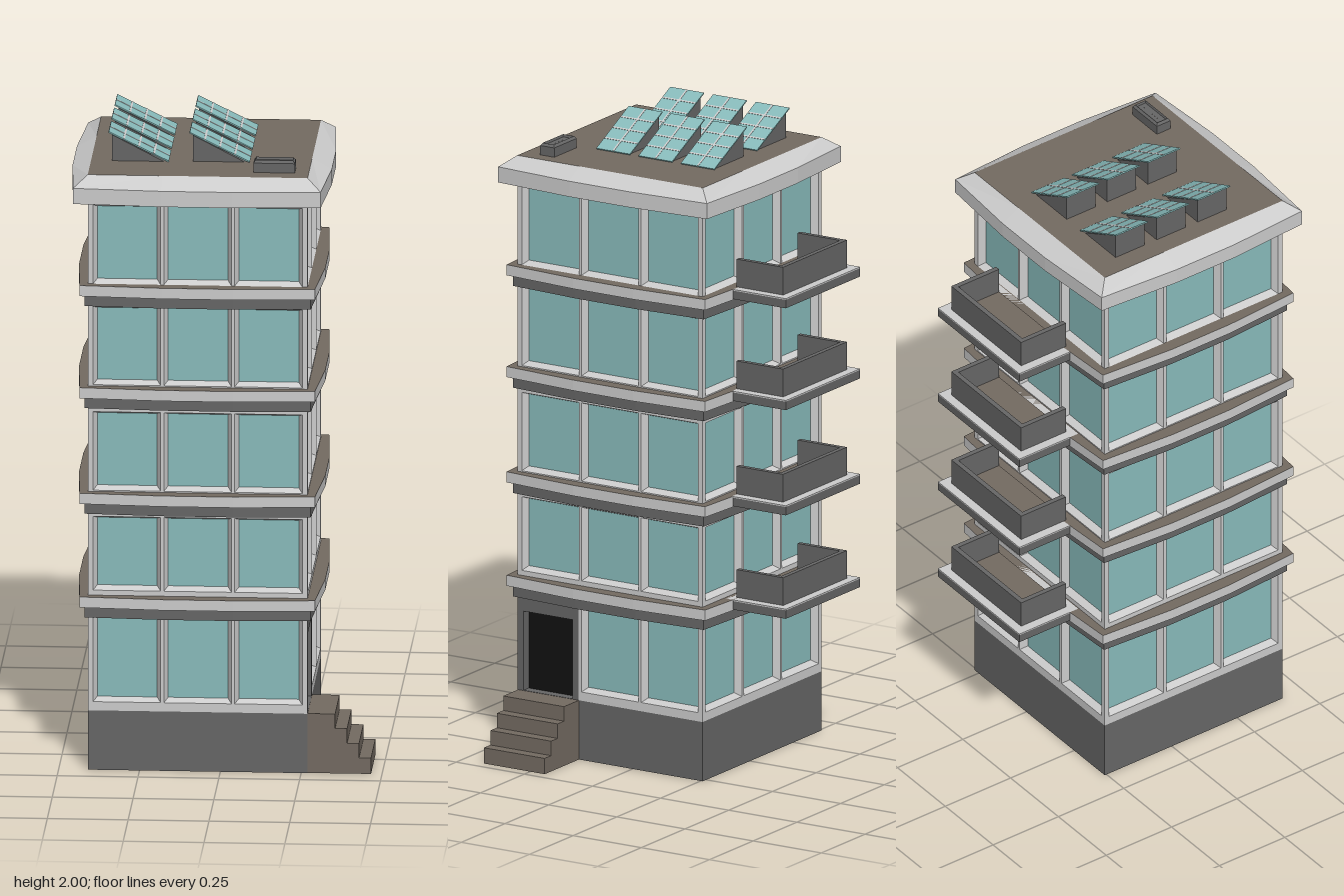
import * as THREE from 'three';

const mat = (color) => new THREE.MeshStandardMaterial({ color, flatShading: true, side: THREE.DoubleSide });
const LIGHT = mat(0xcccccc), DARK = mat(0x666666), BROWN = mat(0x736a61);
const GLASS = mat(0x88bbbb), BLACK = mat(0x111111);

const HALF = 0.34;   // half width of the tower
const PITCH = 0.219; // spacing of the three window bays
const CX = -0.07, CZ = 0.083;

function add(parent, name, geometry, material, x = 0, y = 0, z = 0) {
  const mesh = new THREE.Mesh(geometry, material);
  mesh.name = name;
  mesh.position.set(x, y, z);
  parent.add(mesh);
  return mesh;
}

// Box given by its minimum and maximum corners
function box(parent, name, material, [x0, y0, z0], [x1, y1, z1]) {
  const g = new THREE.BoxGeometry(x1 - x0, y1 - y0, z1 - z0);
  return add(parent, name, g, material, (x0 + x1) / 2, (y0 + y1) / 2, (z0 + z1) / 2);
}

// Skin between successive closed rings of points
function loft(rings) {
  const pos = [];
  for (let r = 0; r + 1 < rings.length; r++) {
    const a = rings[r], b = rings[r + 1];
    a.forEach((p, i) => {
      const j = (i + 1) % a.length;
      pos.push(...p, ...a[j], ...b[j], ...p, ...b[j], ...b[i]);
    });
  }
  const g = new THREE.BufferGeometry();
  g.setAttribute('position', new THREE.Float32BufferAttribute(pos, 3));
  g.computeVertexNormals();
  return g;
}

// Square plan whose sides bow outward from the corners to the middle bay
function bowedPlan(corner, mid) {
  const pts = [];
  for (let k = 0; k < 4; k++) {
    const c = Math.cos(k * Math.PI / 2), s = Math.sin(k * Math.PI / 2);
    for (const [x, z] of [[-corner, corner], [-0.11, mid], [0.11, mid]]) {
      pts.push([x * c + z * s, z * c - x * s]);
    }
  }
  return pts;
}
const ring = (plan, y) => plan.map(([x, z]) => [x, y, z]);

function bowedSlab(parent, name, corner, mid, y0, y1, capMaterial, sideMaterial) {
  const shape = new THREE.Shape(bowedPlan(corner, mid).map(([x, z]) => new THREE.Vector2(x, -z)));
  const g = new THREE.ExtrudeGeometry(shape, { depth: y1 - y0, bevelEnabled: false });
  g.rotateX(-Math.PI / 2);
  add(parent, name, g, [capMaterial, sideMaterial], 0, y0, 0);
}

const rectPoints = (x0, y0, x1, y1) => [[x0, y0], [x1, y0], [x1, y1], [x0, y1]];
const rectPath = (Type, ...r) => new Type(rectPoints(...r).map((p) => new THREE.Vector2(...p)));
const rectRing = (r, z) => rectPoints(...r).map(([x, y]) => [x, y, z]);

// Flat wall panel with bevelled, recessed windows
function wallPanel(parent, [y0, y1, p0, p1], hasDoor) {
  const left = hasDoor ? -0.115 : -HALF;
  const shape = rectPath(THREE.Shape, left, y0, HALF, y1);
  const w = 0.0925, bevel = 0.012, depth = 0.022;
  for (let bay = hasDoor ? 0 : -1; bay <= 1; bay++) {
    const x = bay * PITCH;
    const outer = [x - w - bevel, p0 - bevel, x + w + bevel, p1 + bevel * 0.7];
    const inner = [x - w, p0, x + w, p1];
    shape.holes.push(rectPath(THREE.Path, ...outer));
    add(parent, 'windowFrame', loft([rectRing(outer, HALF), rectRing(inner, HALF - depth)]), LIGHT);
    add(parent, 'windowPane', new THREE.PlaneGeometry(2 * w, p1 - p0), GLASS, x, (p0 + p1) / 2, HALF - depth);
  }
  add(parent, 'wall', new THREE.ShapeGeometry(shape), LIGHT, 0, 0, HALF);
  if (hasDoor) {
    const opening = [-0.317, y0 + 0.001, -0.137, 0.445];
    const surround = rectPath(THREE.Shape, -HALF, y0, left, y1);
    surround.holes.push(rectPath(THREE.Path, ...opening));
    add(parent, 'doorSurround', new THREE.ShapeGeometry(surround), DARK, 0, 0, HALF);
    add(parent, 'doorReveal', loft([rectRing(opening, HALF), rectRing(opening, HALF - 0.03)]), DARK);
    add(parent, 'door', new THREE.PlaneGeometry(0.18, 0.445 - y0), BLACK, -0.227, (y0 + 0.445) / 2, HALF - 0.03);
  }
}

function balcony(y) {
  const g = new THREE.Group();
  g.name = 'balcony';
  box(g, 'balconySlab', DARK, [-0.275, 0, -0.485], [0.15, 0.027, -0.26]);
  box(g, 'balconyEdge', LIGHT, [-0.275, 0.027, -0.485], [0.15, 0.031, -0.26]);
  box(g, 'balconyFloor', BROWN, [-0.23, 0.031, -0.44], [0.105, 0.034, -0.285]);
  box(g, 'balconyFront', DARK, [-0.245, 0.031, -0.456], [0.12, 0.12, -0.44]);
  for (const x of [-0.245, 0.104]) box(g, 'balconySide', DARK, [x, 0.031, -0.44], [x + 0.016, 0.12, -0.285]);
  g.position.y = y;
  return g;
}

// Tilted solar panel on a wedge stand, high on its -x edge
function solarPanel(x, z) {
  const g = new THREE.Group();
  g.name = 'solarPanel';
  const wedge = new THREE.Shape([[0.01, 0], [0.17, 0], [0.01, 0.083]].map((p) => new THREE.Vector2(...p)));
  const stand = new THREE.ExtrudeGeometry(wedge, { depth: 0.11, bevelEnabled: false });
  add(g, 'panelStand', stand, DARK, 0, 0, -0.055);
  const top = new THREE.Group();
  top.name = 'panelTop';
  const len = 0.207;
  box(top, 'panelGlass', GLASS, [0, -0.003, -0.0615], [len, 0.001, 0.0615]);
  for (let i = 1; i < 4; i++) {
    const u = len * i / 4;
    box(top, 'panelBar', LIGHT, [u - 0.003, 0.001, -0.0605], [u + 0.003, 0.002, 0.0605]);
  }
  box(top, 'panelBar', LIGHT, [0.001, 0.001, -0.003], [len - 0.001, 0.002, 0.003]);
  top.position.y = 0.094;
  top.rotation.z = -Math.atan2(0.091, 0.185);
  g.add(top);
  g.position.set(x, 1.905, z);
  return g;
}

export function createModel() {
  const model = new THREE.Group();
  model.name = 'apartmentTower';
  const tower = new THREE.Group();
  tower.name = 'tower';
  tower.position.set(CX, 0, CZ);
  model.add(tower);

  // Plinth, open underneath
  const square = bowedPlan(HALF, HALF);
  add(tower, 'plinth', loft([ring(square, 0), ring(square, 0.19)]), DARK);

  // Storeys: wall bottom, wall top, pane bottom, pane top
  const storeys = [
    [0.19, 0.5, 0.23, 0.485],
    [0.555, 0.83, 0.587, 0.803],
    [0.89, 1.165, 0.907, 1.138],
    [1.225, 1.49, 1.245, 1.475],
    [1.55, 1.84, 1.568, 1.8],
  ];
  storeys.forEach((s, floor) => {
    for (let k = 0; k < 4; k++) {
      const side = new THREE.Group();
      side.name = 'storeySide';
      side.rotation.y = k * Math.PI / 2;
      wallPanel(side, s, floor === 0 && k === 1);
      tower.add(side);
    }
  });

  // Floor bands and balconies between storeys
  for (const y of [0.525, 0.857, 1.195, 1.522]) {
    bowedSlab(tower, 'lowerBand', 0.35, 0.365, y - 0.035, y, DARK, DARK);
    bowedSlab(tower, 'upperBand', 0.364, 0.381, y, y + 0.034, BROWN, LIGHT);
    model.add(balcony(y + 0.003));
  }

  // Cornice and roof
  const rim = bowedPlan(0.383, 0.401);
  add(tower, 'cornice', loft([ring(rim, 1.822), ring(rim, 1.872), ring(square, 1.905)]), LIGHT);
  const roof = new THREE.PlaneGeometry(2 * HALF, 2 * HALF).rotateX(-Math.PI / 2);
  add(tower, 'roof', roof, BROWN, 0, 1.905, 0);

  // Solar panels
  for (let i = 0; i < 3; i++) {
    model.add(solarPanel(-0.355, -0.113 + i * 0.157));
    model.add(solarPanel(-0.105, -0.117 + i * 0.155));
  }

  // Roof vent with a sunken top
  const ventRing = (inset, y) => [[-1, 1], [1, 1], [1, -1], [-1, -1]]
    .map(([x, z]) => [x * (0.064 - inset), y, z * (0.026 - inset)]);
  const vent = loft([ventRing(0, 0), ventRing(0, 0.03), ventRing(0.006, 0.038), ventRing(0.008, 0.03), ventRing(0.0259, 0.03)]);
  add(model, 'roofVent', vent, DARK, 0.163, 1.905, 0.341);

  // Entrance steps, open underneath
  const steps = [[0.27, 0], [0.27, 0.19]];
  [0.355, 0.392, 0.429, 0.466].forEach((x, i) => {
    steps.push([x, 0.19 - i * 0.0465], [x, i < 3 ? 0.19 - (i + 1) * 0.0465 : 0]);
  });
  const stepShape = new THREE.Shape(steps.map((p) => new THREE.Vector2(...p)));
  for (const z of [0.197, 0.42]) add(model, 'stepsSide', new THREE.ShapeGeometry(stepShape), BROWN, 0, 0, z);
  for (let i = 1; i + 1 < steps.length; i++) {
    const [x0, y0] = steps[i], [x1, y1] = steps[i + 1];
    const flat = y0 === y1;
    const g = new THREE.PlaneGeometry(flat ? x1 - x0 : 0.223, flat ? 0.223 : y0 - y1);
    if (flat) g.rotateX(-Math.PI / 2); else g.rotateY(Math.PI / 2);
    add(model, flat ? 'stepTread' : 'stepRiser', g, BROWN, (x0 + x1) / 2, (y0 + y1) / 2, 0.3085);
  }
  return model;
}
